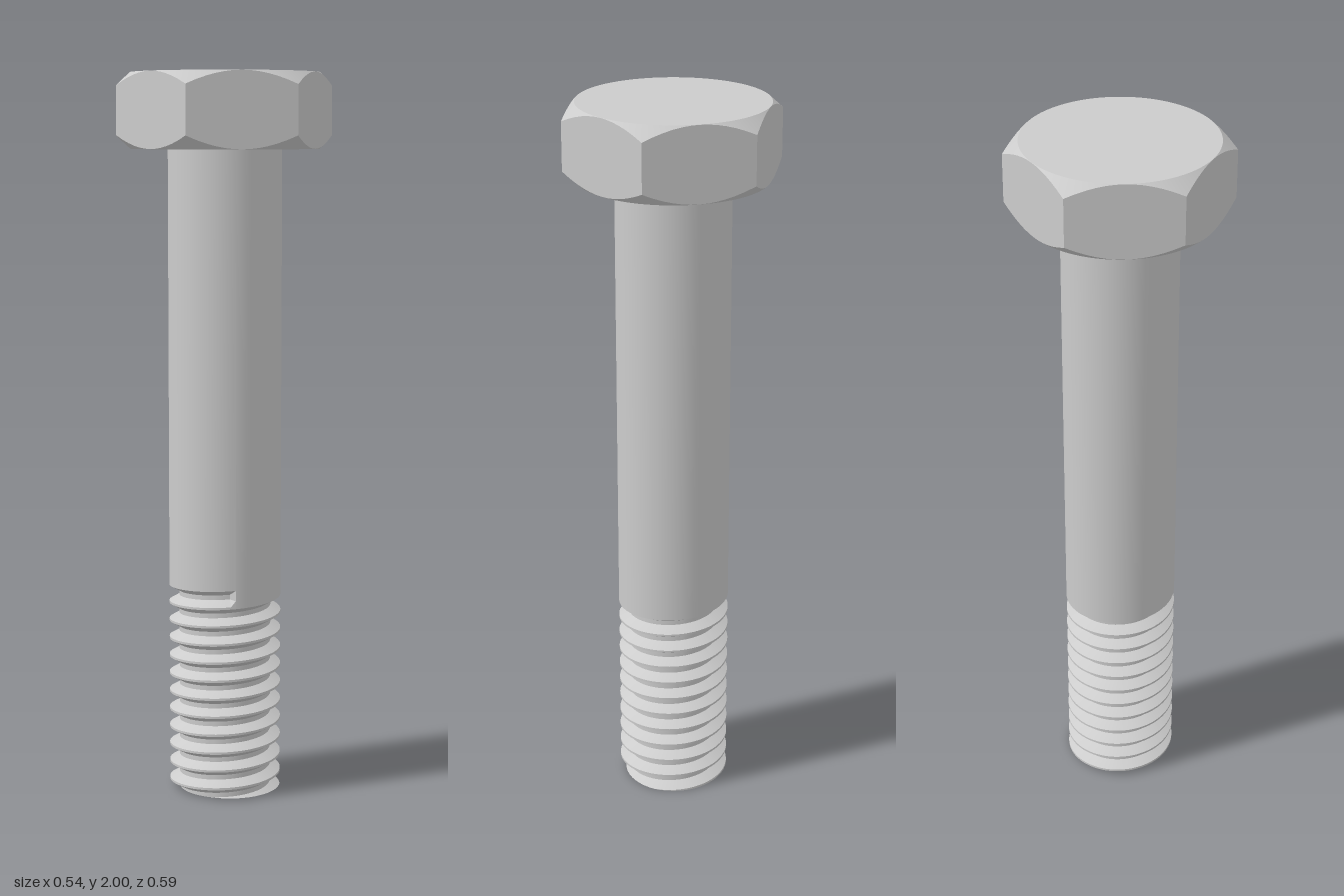
import * as THREE from 'three';
import { toCreasedNormals } from 'three/addons/utils/BufferGeometryUtils.js';

const TOP = 2, SEAT = 1.795;           // head top and underside
const R = 0.156, DEPTH = 0.028;        // shank radius, thread depth
const PITCH = 0.0513, TURNS = 12;
const W_OUT = 0.0225, W_IN = 0.0065;   // half widths of the groove: mouth and root
const END_Y = 0.575, END_PHI = 0.45;   // where the groove runs out

// Hexagon head: a lathe whose widest rings are pushed out to a hexagon, chamfered at both ends
function headGeometry() {
  const apothem = 0.258, circle = 0.2575, start = -0.092, sixth = Math.PI / 3;
  const profile = [[0, SEAT], [circle, SEAT], [0.3, SEAT + 0.03], [0.3, TOP - 0.03], [circle, TOP], [0, TOP]]
    .map(([x, y]) => new THREE.Vector2(x, y));
  const geo = new THREE.LatheGeometry(profile, 72, start);
  const p = geo.attributes.position;
  for (let i = 0; i < p.count; i++) {
    const x = p.getX(i), z = p.getZ(i);
    if (Math.hypot(x, z) < 0.28) continue;
    const phi = Math.atan2(x, z);
    const fromCorner = (((phi - start) % sixth) + sixth + 1e-7) % sixth;
    const r = apothem / Math.cos(fromCorner - sixth / 2);
    const drop = (r - circle) * 0.9;
    const y = p.getY(i) < (SEAT + TOP) / 2 ? SEAT + drop : TOP - drop;
    p.setXYZ(i, r * Math.sin(phi), y, r * Math.cos(phi));
  }
  geo.deleteAttribute('uv');
  return toCreasedNormals(geo, 0.4);
}

// Shank and right-hand thread: columns around the axis, rows that follow the helical groove
function shankGeometry() {
  const columns = 72, grid = [];
  for (let j = 0; j <= columns; j++) {
    const u = j / columns - 1;                       // -1..0 turns before the run-out
    const phi = END_PHI + u * Math.PI * 2;
    const centre = END_Y + PITCH * u;
    const point = (r, y) => new THREE.Vector3(r * Math.sin(phi), y, r * Math.cos(phi));
    const radiusAt = (y) => {
      const t = (y - centre) / PITCH;
      const off = Math.abs(t - Math.round(t)) * PITCH;
      return R - DEPTH * THREE.MathUtils.clamp((W_OUT - off) / (W_OUT - W_IN), 0, 1);
    };
    const column = [point(R, SEAT)];
    for (let k = 0; k < TURNS; k++) {
      for (const off of [W_OUT, W_IN, -W_IN, -W_OUT]) {
        const y = Math.max(0, centre - k * PITCH + off);
        const closed = k === 0 && j === columns;     // groove ends flush with the shank
        column.push(point(closed ? R : radiusAt(y), y));
      }
    }
    column.push(point(radiusAt(0), 0), new THREE.Vector3(0, 0, 0));
    grid.push(column);
  }

  const verts = [];
  const triangle = (a, b, c) => {
    const area = new THREE.Triangle(a, b, c).getArea();
    if (area > 1e-9) verts.push(...a.toArray(), ...b.toArray(), ...c.toArray());
  };
  for (let j = 0; j < columns; j++) {
    for (let i = 0; i < grid[0].length - 1; i++) {
      const a = grid[j][i], b = grid[j][i + 1], c = grid[j + 1][i + 1], d = grid[j + 1][i];
      triangle(a, b, d);
      triangle(b, c, d);
    }
  }
  const geo = new THREE.BufferGeometry();
  geo.setAttribute('position', new THREE.Float32BufferAttribute(verts, 3));
  return toCreasedNormals(geo, 0.5);
}

export function createModel() {
  const bolt = new THREE.Group();
  bolt.name = 'hexBolt';
  const material = new THREE.MeshStandardMaterial({ color: 0xcccccc });
  const add = (name, geometry) => {
    const mesh = new THREE.Mesh(geometry, material);
    mesh.name = name;
    bolt.add(mesh);
  };
  add('hexHead', headGeometry());
  add('threadedShank', shankGeometry());
  return bolt;
}
